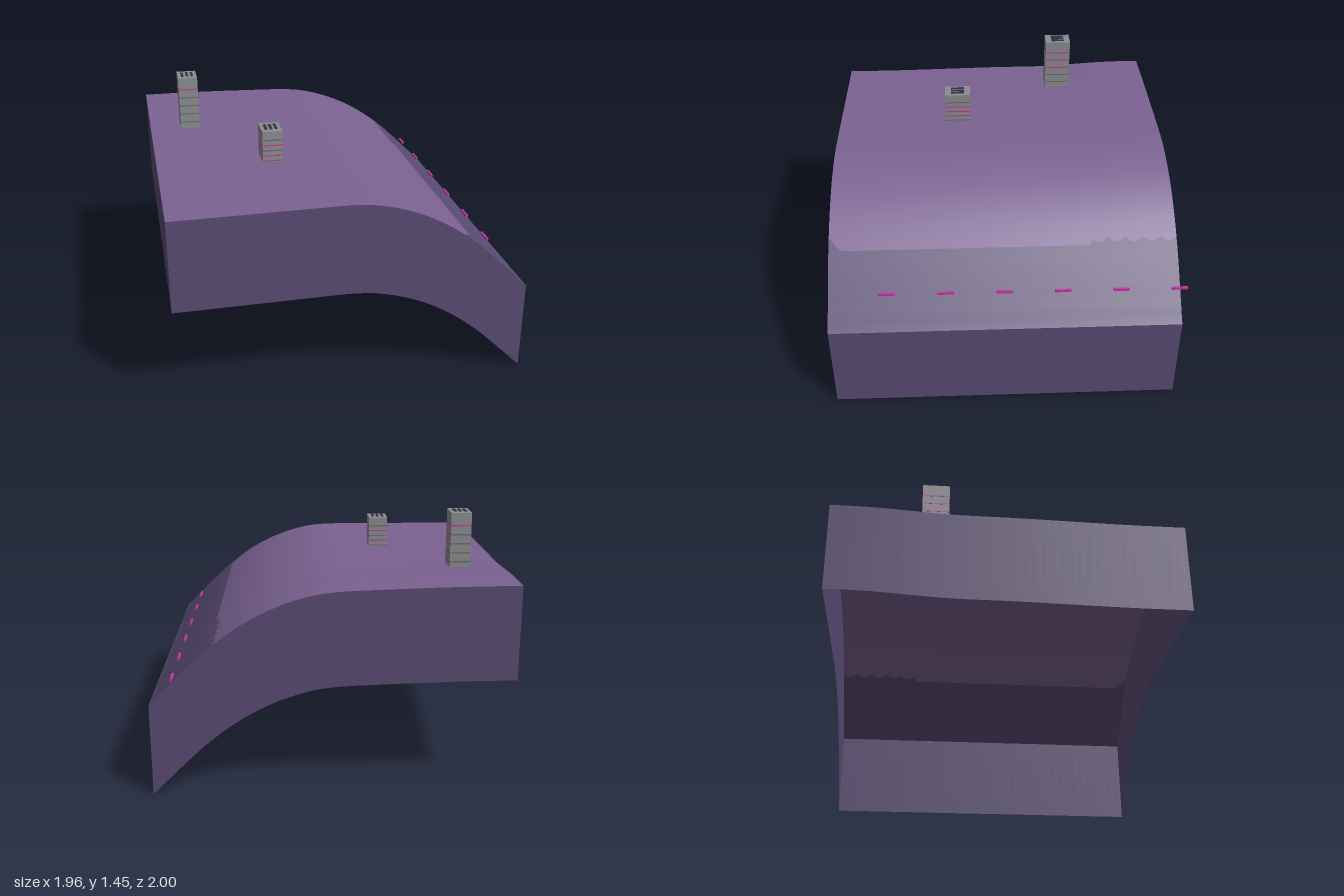
import * as THREE from 'three';

const X = 0.98, ZB = -0.96, ZF = 1, DEPTH = 0.52;

// Height of the slope at x = 0, 0.1, 0.2 ... 1.0
const PROFILE = [1.104, 1.093, 1.07, 1.037, 0.993, 0.937, 0.868, 0.787, 0.692, 0.593, 0.502];
const at = i => i < 0 ? 1.107 : PROFILE[Math.min(i, 10)];

function height(x, z) {
  const i = Math.floor(x * 10), t = x * 10 - i;
  const [a, b, c, d] = [at(i - 1), at(i), at(i + 1), at(i + 2)];
  const base = b + 0.5 * t * (c - a + t * (2 * a - 5 * b + 4 * c - d + t * (3 * (b - c) + d - a)));
  // gentle rise towards the back left
  const rise = 0.012 * THREE.MathUtils.smoothstep(-z, -0.8, 0.1) + 0.028 * THREE.MathUtils.smoothstep(-z, 0.2, 0.85);
  return base + rise * (1 - THREE.MathUtils.smoothstep(x, -0.9, 0.75));
}

// Border between the plateau and the dark lower slope, scalloped at the back
function border(z) {
  if (z < -0.47) return 0.615 + 0.022 * Math.abs(Math.sin((z + 0.47) * Math.PI / 0.1));
  return z > 0.93 ? 0.65 - (z - 0.93) * 0.85 : 0.65;
}

// Grid surface from a rule (u, v) -> [x, y, z]
function surface(rule, nu, nv, ground) {
  const pos = [], nor = [], idx = [], e = 0.01;
  for (let j = 0; j <= nv; j++) for (let i = 0; i <= nu; i++) {
    const [x, y, z] = rule(i / nu, j / nv);
    pos.push(x, y, z);
    if (ground) {
      const n = new THREE.Vector3(height(x - e, z) - height(x + e, z), 2 * e,
        height(x, z - e) - height(x, z + e)).normalize();
      nor.push(n.x, n.y, n.z);
    }
    if (i < nu && j < nv) {
      const a = j * (nu + 1) + i, b = a + nu + 1;
      idx.push(a, b, a + 1, a + 1, b, b + 1);
    }
  }
  const g = new THREE.BufferGeometry();
  g.setAttribute('position', new THREE.Float32BufferAttribute(pos, 3));
  g.setIndex(idx);
  if (ground) g.setAttribute('normal', new THREE.Float32BufferAttribute(nor, 3));
  else g.computeVertexNormals();
  return g;
}

export function createModel() {
  const mat = (name, color, side = THREE.FrontSide) => {
    const m = new THREE.MeshStandardMaterial({ color, side });
    m.name = name;
    return m;
  };
  const plum = mat('plum ground', 0x7b6292, THREE.DoubleSide);
  const dusk = mat('dark violet', 0x5a4c74, THREE.DoubleSide);
  const concrete = mat('concrete grey', 0x8b8e90);
  const bandGrey = mat('band grey', 0x6a6d72);
  const magenta = mat('magenta', 0xc437a6);
  const slotDark = mat('slot dark', 0x38324a);

  const root = new THREE.Group();
  root.name = 'coastalBlock';
  const add = (name, geo, material, parent = root) => {
    const m = new THREE.Mesh(geo, material);
    m.name = name;
    parent.add(m);
    return m;
  };
  const box = (name, w, h, d, x, y, z, material, parent) =>
    add(name, new THREE.BoxGeometry(w, h, d), material, parent).position.set(x, y, z);
  const lerp = THREE.MathUtils.lerp;

  // Ground surface in two colours
  const strip = (from, to) => (u, v) => {
    const z = lerp(ZB, ZF, v), x = lerp(from(z), to(z), u);
    return [x, height(x, z), z];
  };
  add('plateau', surface(strip(() => -X, border), 60, 196, true), plum);
  add('lowerSlope', surface(strip(border, () => X), 16, 196, true), dusk);

  // Skirt walls hang from the ground edge; the underside stays open
  const wall = (x0, z0, x1, z1) => (u, v) => {
    const x = lerp(x0, x1, u), z = lerp(z0, z1, u);
    return [x, height(x, z) - v * DEPTH, z];
  };
  add('frontSkirt', surface(wall(-X, ZF, X, ZF), 60, 1), dusk);
  add('leftSkirt', surface(wall(X, ZF, X, ZB), 40, 1), dusk);
  add('backSkirt', surface(wall(X, ZB, -X, ZB), 60, 1), dusk);
  add('rightSkirt', surface(wall(-X, ZB, -X, ZF), 40, 1), dusk);

  // Towers: body, floor bands on each face, roof slots
  const W = 0.115, D = 0.155;
  function tower(name, x, z, bottom, top, step, frontPink, sidePink) {
    const g = new THREE.Group();
    g.name = name;
    g.position.set(x, 0, z);
    root.add(g);
    box('body', W, top - bottom, D, 0, (top + bottom) / 2, 0, concrete, g);
    for (let i = 1; top - i * step > bottom + 0.02; i++) {
      const y = top - i * step - 0.02;
      const fm = frontPink.includes(i) ? magenta : bandGrey;
      const sm = sidePink.includes(i) ? magenta : bandGrey;
      for (const s of [-1, 1]) {
        box('faceBand', W * 0.98, 0.007, 0.003, 0, y, s * D / 2, fm, g);
        box('sideBand', 0.003, 0.007, D * 0.98, s * W / 2, y, 0, sm, g);
      }
    }
    for (const i of [-1, 0, 1])
      box('roofSlot', 0.015, 0.006, 0.08, i * 0.029, top + 0.002, 0, slotDark, g);
  }
  tower('tallTower', -0.737, -0.383, 1.11, 1.44, 0.052, [1], [1, 2, 3]);
  tower('shortTower', -0.328, 0.267, 1.09, 1.295, 0.031, [2, 4], [2, 3, 4]);

  // Row of floating dashes along the slope
  for (let i = 0; i < 6; i++)
    box('dash', 0.012, 0.014, 0.09, 0.85, 0.678 - i * 0.002, 0.675 - i * 0.326, magenta);

  return root;
}
